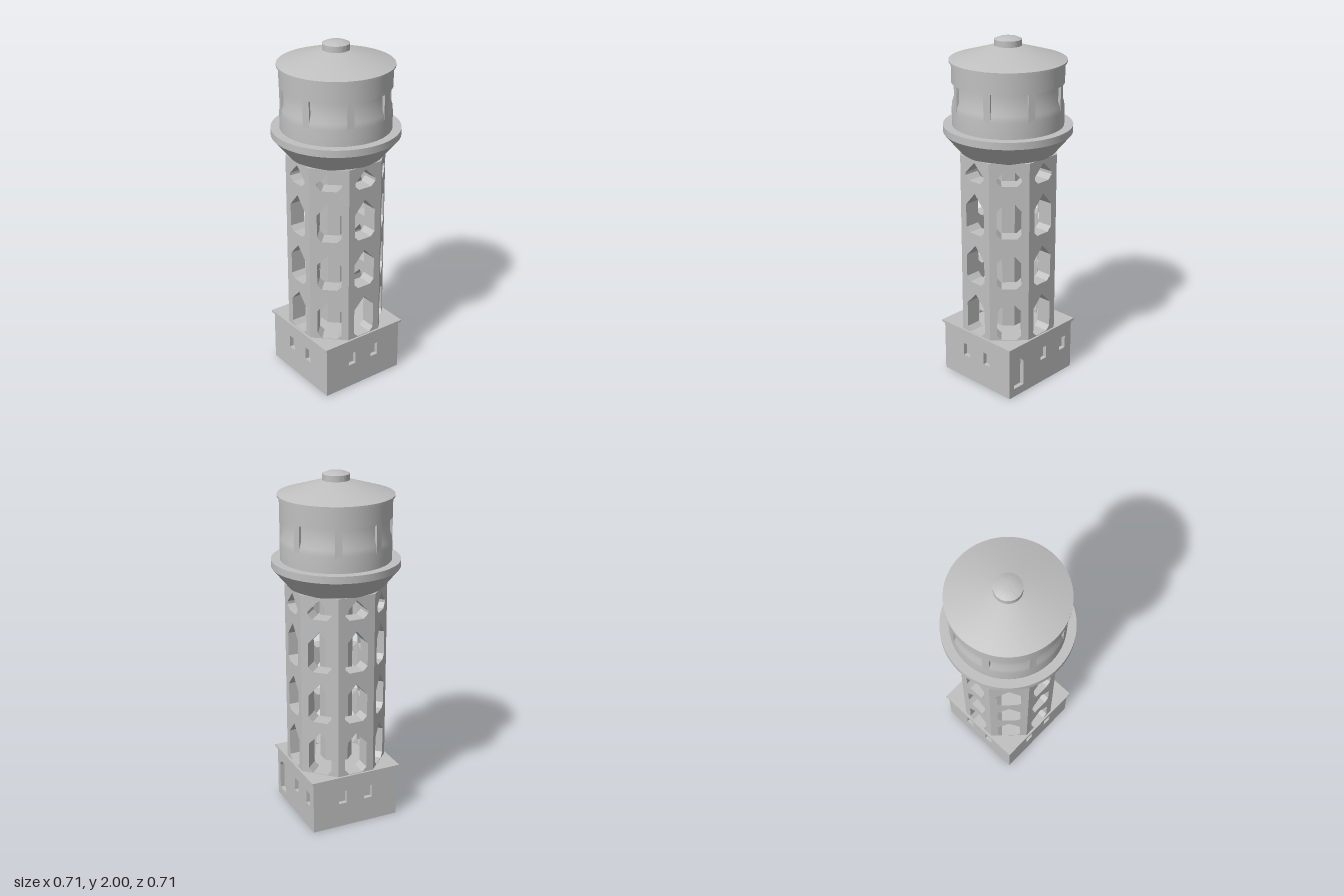
import * as THREE from 'three';
import { toCreasedNormals } from 'three/addons/utils/BufferGeometryUtils.js';

export function createModel() {
  const model = new THREE.Group();
  const stone = new THREE.MeshStandardMaterial({ color: 0xc0c0c0 });
  stone.name = 'paleStone';

  const add = (name, geometry, parent = model) => {
    const mesh = new THREE.Mesh(geometry, stone);
    mesh.name = name;
    parent.add(mesh);
    return mesh;
  };
  const box = (name, w, h, d, y) => {
    const mesh = add(name, new THREE.BoxGeometry(w, h, d));
    mesh.position.y = y;
    return mesh;
  };
  const lathe = (name, profile) => {
    const points = profile.map(([r, y]) => new THREE.Vector2(r, y));
    return add(name, toCreasedNormals(new THREE.LatheGeometry(points, 96), 0.5));
  };
  const polygon = (points, Type = THREE.Path) => new Type(points.map(([x, y]) => new THREE.Vector2(x, y)));
  const rect = (x0, y0, x1, y1, Type) => polygon([[x0, y0], [x1, y0], [x1, y1], [x0, y1]], Type);
  const panel = (halfWidth, y0, y1, holes, depth) => {
    const shape = rect(-halfWidth, y0, halfWidth, y1, THREE.Shape);
    shape.holes.push(...holes);
    return new THREE.ExtrudeGeometry(shape, { depth, bevelEnabled: false, curveSegments: 12 });
  };

  // Square base: a core behind four walls with recessed openings
  const BASE = 0.262, RECESS = 0.025;
  box('baseCore', 2 * (BASE - RECESS), 0.308, 2 * (BASE - RECESS), 0.154);
  const baseWindow = x => rect(x - 0.025, 0.145, x + 0.025, 0.222);
  const door = x => {
    const path = new THREE.Path();
    path.moveTo(x - 0.04, 0.05);
    path.lineTo(x + 0.04, 0.05);
    path.lineTo(x + 0.04, 0.195);
    path.absarc(x, 0.195, 0.04, 0, Math.PI, false);
    path.lineTo(x - 0.04, 0.05);
    return path;
  };
  const walls = [
    ['frontWall', [baseWindow(-0.08), baseWindow(0.08)]],
    ['rightWall', [door(-0.188), baseWindow(0.02), baseWindow(0.185)]],
    ['backWall', [baseWindow(-0.08), baseWindow(0.08)]],
    ['leftWall', [baseWindow(-0.08), baseWindow(0.08)]],
  ];
  walls.forEach(([name, holes], i) => {
    const pivot = new THREE.Group();
    pivot.rotation.y = i * Math.PI / 2;
    model.add(pivot);
    const half = i % 2 ? BASE - RECESS : BASE;
    add(name, panel(half, 0, 0.308, holes, RECESS), pivot).position.z = BASE - RECESS;
  });
  box('baseCorniceLower', 0.536, 0.008, 0.536, 0.304);
  box('baseCornice', 0.548, 0.012, 0.548, 0.313);

  // Octagonal shaft: eight thick panels, mitred towards the inside
  const OUTER = 0.262, DEPTH = 0.09, INNER = OUTER - DEPTH;
  const half = OUTER * Math.tan(Math.PI / 8);
  const rows = [
    [0.322, 0.5, 0.572],
    [0.64, 0.795, 0.87],
    [0.94, 1.1, 1.178],
    [1.245, 1.287, 1.355],
  ];
  const archWindow = ([y0, y1, y2]) => polygon([
    [-0.042, y0], [0.042, y0], [0.068, y0 + 0.026], [0.068, y1],
    [0, y2], [-0.068, y1], [-0.068, y0 + 0.026],
  ]);
  const shaftPanel = panel(half, 0.315, 1.375, rows.map(archWindow), DEPTH);
  const pos = shaftPanel.attributes.position;
  for (let i = 0; i < pos.count; i++) {
    if (pos.getZ(i) < DEPTH / 2 && Math.abs(pos.getX(i)) > 0.1) pos.setX(i, pos.getX(i) * INNER / OUTER);
  }
  shaftPanel.computeVertexNormals();
  for (let i = 0; i < 8; i++) {
    const pivot = new THREE.Group();
    pivot.rotation.y = i * Math.PI / 4;
    model.add(pivot);
    add('shaftPanel', shaftPanel, pivot).position.z = INNER;
  }

  // Central octagonal column inside the shaft
  const columnRadius = 0.085 / Math.cos(Math.PI / 8);
  const column = new THREE.CylinderGeometry(columnRadius, columnRadius, 1.06, 8);
  column.rotateY(Math.PI / 8);
  add('innerColumn', toCreasedNormals(column, 0.3)).position.y = 0.845;

  // Flared gallery under the tank
  lathe('gallery', [[0, 1.37], [0.262, 1.37], [0.355, 1.482], [0.355, 1.522], [0, 1.522]]);

  // Tank drum with a recessed window band
  lathe('tankDrum', [
    [0.306, 1.52], [0.306, 1.61], [0.303, 1.645], [0.292, 1.675],
    [0.292, 1.755], [0.306, 1.758], [0.306, 1.872],
  ]);
  for (let i = 0; i < 8; i++) {
    const angle = (i + 0.5) * Math.PI / 4;
    const pier = add('tankPier', new THREE.BoxGeometry(0.038, 0.16, 0.035));
    pier.position.set(Math.sin(angle) * 0.288, 1.682, Math.cos(angle) * 0.288);
    pier.rotation.y = angle;
  }

  // Conical roof and the domed cap
  lathe('roof', [[0, 1.868], [0.318, 1.868], [0.318, 1.878], [0.07, 1.953], [0, 1.955]]);
  lathe('roofCap', [[0.074, 1.94], [0.074, 1.985], [0.05, 1.995], [0.025, 1.999], [0, 2]]);

  return model;
}
